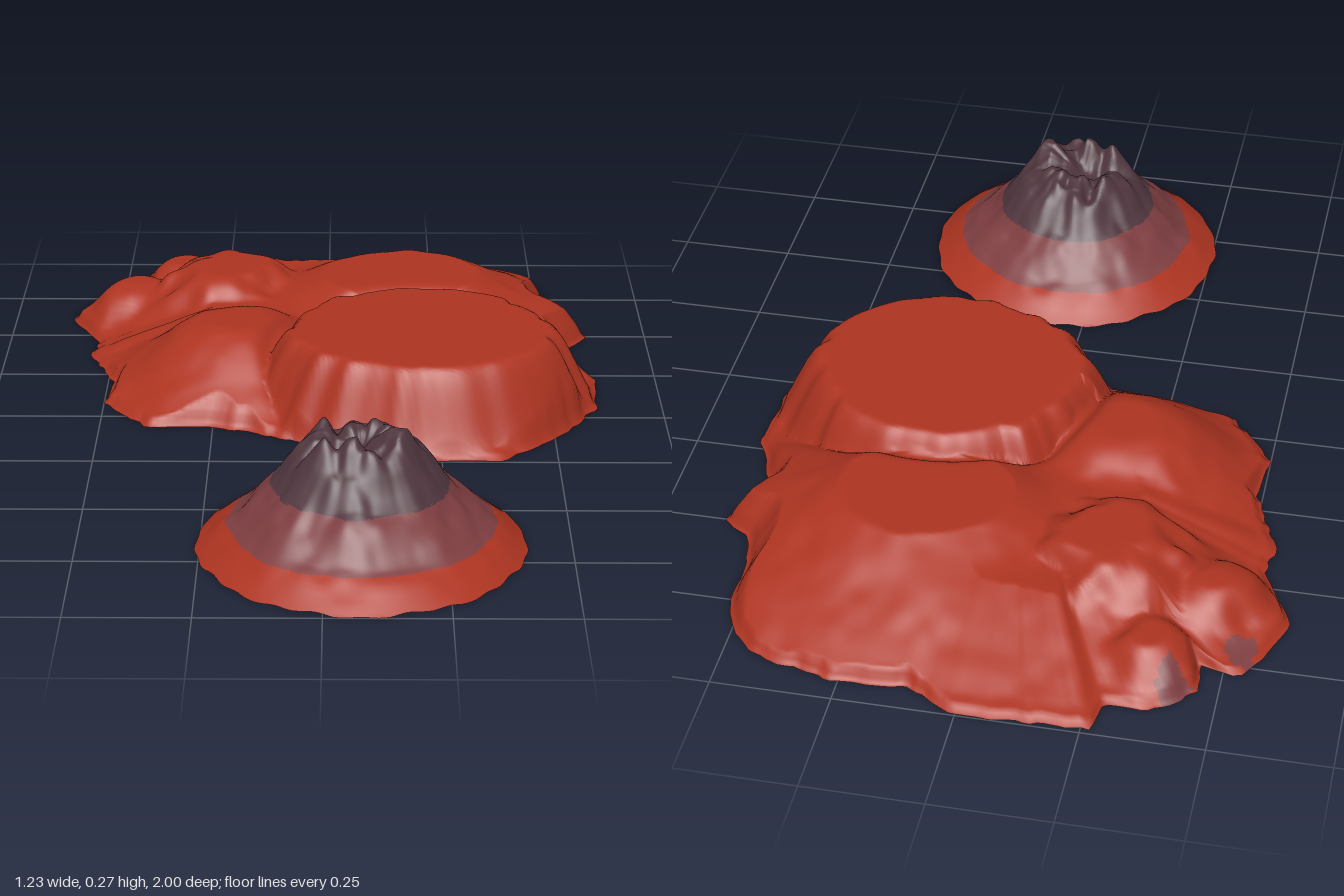
import * as THREE from 'three';

const flat = (name, color) =>
  Object.assign(new THREE.MeshStandardMaterial({ color, side: THREE.DoubleSide }), { name });

const clamp = (v) => Math.min(1, Math.max(0, v));
const ease = (v) => { const t = clamp(v); return t * t * (3 - 2 * t); };
const lerp = THREE.MathUtils.lerp;
const softMax = (a, b) => Math.max(a, b) + 0.005 * clamp(1 - Math.abs(a - b) / 0.02) ** 2;

// Repeatable smooth noise, about -1..1
const hash = (i, j) => {
  const s = Math.sin(i * 127.1 + j * 311.7) * 43758.5453;
  return (s - Math.floor(s)) * 2 - 1;
};
function noise(x, z) {
  const i = Math.floor(x), j = Math.floor(z), u = ease(x - i), v = ease(z - j);
  return lerp(lerp(hash(i, j), hash(i + 1, j), u), lerp(hash(i, j + 1), hash(i + 1, j + 1), u), v);
}

// Terrain sheet made of rings around a centre; pick() gives the material index per face
function polarSheet(name, cx, cz, segs, rings, radius, height, materials, pick) {
  const pos = [], buckets = materials.map(() => []);
  const radii = Array.from({ length: segs }, (_, j) => radius((j / segs) * Math.PI * 2));
  for (let i = 0; i <= rings; i++) {
    for (let j = 0; j < segs; j++) {
      const a = (j / segs) * Math.PI * 2, r = (radii[j] * i) / rings;
      const x = cx + Math.cos(a) * r, z = cz + Math.sin(a) * r;
      pos.push(x, height(x, z, radii[j] - r, r, a), z);
    }
  }
  const addFace = (...f) => {
    const mean = (k) => f.reduce((s, v) => s + pos[v * 3 + k], 0) / 3;
    buckets[pick(mean(0), mean(1), mean(2))].push(...f);
  };
  for (let i = 0; i < rings; i++) {
    for (let j = 0; j < segs; j++) {
      const k = (j + 1) % segs;
      const a = i * segs + j, b = i * segs + k, c = a + segs, d = b + segs;
      if (i > 0) addFace(a, b, c);
      addFace(b, d, c);
    }
  }
  const geo = new THREE.BufferGeometry();
  geo.setAttribute('position', new THREE.Float32BufferAttribute(pos, 3));
  geo.setIndex(buckets.flat());
  let start = 0;
  buckets.forEach((b, m) => { geo.addGroup(start, b.length, m); start += b.length; });
  geo.computeVertexNormals();
  const mesh = new THREE.Mesh(geo, materials);
  mesh.name = name;
  return mesh;
}

// Plateau coastline (x, z)
const coast = [
  [-0.27, -0.99], [0.02, -0.995], [0.1, -0.94], [0.27, -0.95], [0.45, -0.9], [0.52, -0.8],
  [0.54, -0.56], [0.615, -0.5], [0.56, -0.42], [0.56, -0.35], [0.615, -0.22], [0.6, -0.05],
  [0.54, 0.07], [0.45, 0.17], [0.38, 0.24], [0.2, 0.25], [0.03, 0.2], [-0.12, 0.11],
  [-0.25, 0.06], [-0.4, 0.06], [-0.5, -0.08], [-0.49, -0.2], [-0.55, -0.37], [-0.54, -0.45],
  [-0.615, -0.6], [-0.58, -0.7], [-0.53, -0.78], [-0.45, -0.76], [-0.46, -0.84], [-0.38, -0.91],
  [-0.28, -0.91],
];
const HUB = [0, -0.38];

// Distance from the hub to the coast along an angle
function coastRadius(a) {
  const c = Math.cos(a), s = Math.sin(a);
  let best = 0.1;
  coast.forEach((p, i) => {
    const q = coast[(i + 1) % coast.length];
    const px = p[0] - HUB[0], pz = p[1] - HUB[1], ex = q[0] - p[0], ez = q[1] - p[1];
    const det = ex * s - ez * c;
    if (Math.abs(det) < 1e-9) return;
    const u = (pz * c - px * s) / det;
    if (u >= 0 && u <= 1) best = Math.max(best, (px + ex * u) * c + (pz + ez * u) * s);
  });
  return best + 0.006 * noise(a * 25, 3);
}

function plateauHeight(x, z, edge) {
  const rough = noise(x * 9, z * 9) * 0.6 + noise(x * 21, z * 21) * 0.4;

  // Oval front mesa with ribbed cliffs
  const dz = z + 0.085;
  const mx = x - 0.21, mz = dz / (dz > 0 ? 0.83 : 0.91), mr = Math.hypot(mx, mz);
  const rib = noise(Math.atan2(mz, mx) * 7 + 40, 5) * 0.012;
  const mesa = 0.18 * ease((0.405 - mr + rib) / 0.13);

  // Back tableland, sloping away to the rear and right
  const tr = Math.hypot((x - 0.17) / 1.2, z + 0.51);
  const table = 0.16 * clamp((0.47 - tr + rough * 0.015) / 0.32);

  // Left hills
  const hill = (hx, hz, h, top, base, bump) =>
    h * ease((base - Math.hypot(x - hx, z - hz) + rough * bump) / (base - top));
  const front = hill(-0.2, -0.2, 0.16, 0.06, 0.36, 0.015);
  const back = hill(-0.23, -0.57, 0.16, 0.07, 0.27, 0.05);
  const knolls = Math.max(
    hill(-0.45, -0.61, 0.103, 0.01, 0.18, 0.04), hill(-0.36, -0.78, 0.09, 0.03, 0.16, 0.04));

  // Low ground joining everything, with a crease round the mesa
  const saddle = 0.115 * clamp(edge / 0.28) + rough * 0.005;
  const crease = 1 - 0.14 * Math.exp(-(((mr - 0.33) / 0.025) ** 2));
  const land = [table, front, back, knolls].reduce(softMax, saddle) * crease;
  return 0.005 + clamp(edge / 0.02) * Math.max(Math.min(mesa, edge * 3), Math.min(land, edge * 1.4), 0);
}

// Volcano flank profile: radius, height
const flank = [
  [0, 0.2], [0.035, 0.215], [0.065, 0.242], [0.095, 0.24], [0.13, 0.205], [0.17, 0.15],
  [0.2, 0.118], [0.25, 0.072], [0.29, 0.04], [0.335, 0.005], [0.4, 0.005],
];

function volcanoHeight(x, z, edge, r, a) {
  const i = flank.findIndex((p) => p[0] > r);
  const [p, q] = [flank[i - 1], flank[i]];
  const y = lerp(p[1], q[1], (r - p[0]) / (q[0] - p[0]));
  // Gullies winding down the flanks and a jagged crater rim
  const t = a / (Math.PI * 2);
  const wrap = (n, row) => lerp(noise(t * n, row), noise(t * n - n, row), ease((t - 0.75) * 4));
  const gully = wrap(22, r * 20) * 0.011 + wrap(44, r * 30 + 9) * 0.005;
  const crown = ease((0.15 - r) / 0.06);
  const rim = noise(x * 19 + 3, z * 19) * 0.03 + noise(x * 34, z * 34) * 0.006;
  const notch = 0.025 * Math.exp(-(((x - 0.025) / 0.016) ** 2));
  return Math.max(0.004, Math.min(0.272, y + gully * ease(edge / 0.12) * ease(r / 0.1) + (rim - notch) * crown));
}

export function createModel() {
  const red = flat('red earth', 0xae3421);
  const mauve = flat('mauve rock', 0x7f3e41);
  const dark = flat('dark rock', 0x50363e);

  // Weathered rock patches on the back left shore
  const patches = [[-0.42, -0.86, 0.045], [-0.53, -0.72, 0.04]];
  const plateau = polarSheet('plateau', HUB[0], HUB[1], 288, 100, coastRadius, plateauHeight, [red, mauve],
    (x, y, z) => (patches.some(([px, pz, pr]) => Math.hypot(x - px, z - pz) < pr * (0.8 + 0.3 * noise(x * 40, z * 40))) ? 1 : 0));

  const volcano = polarSheet('volcano', 0.075, 0.665, 192, 90,
    (a) => 0.333 + 0.002 * Math.sin(a * 9) + 0.002 * Math.sin(a * 23), volcanoHeight, [red, mauve, dark],
    (x, y, z) => (Math.hypot(x - 0.075, z - 0.665) < 0.1 || y > 0.141 ? 2 : y > 0.056 ? 1 : 0));

  const model = new THREE.Group();
  model.name = 'terrain';
  model.add(plateau, volcano);
  return model;
}
